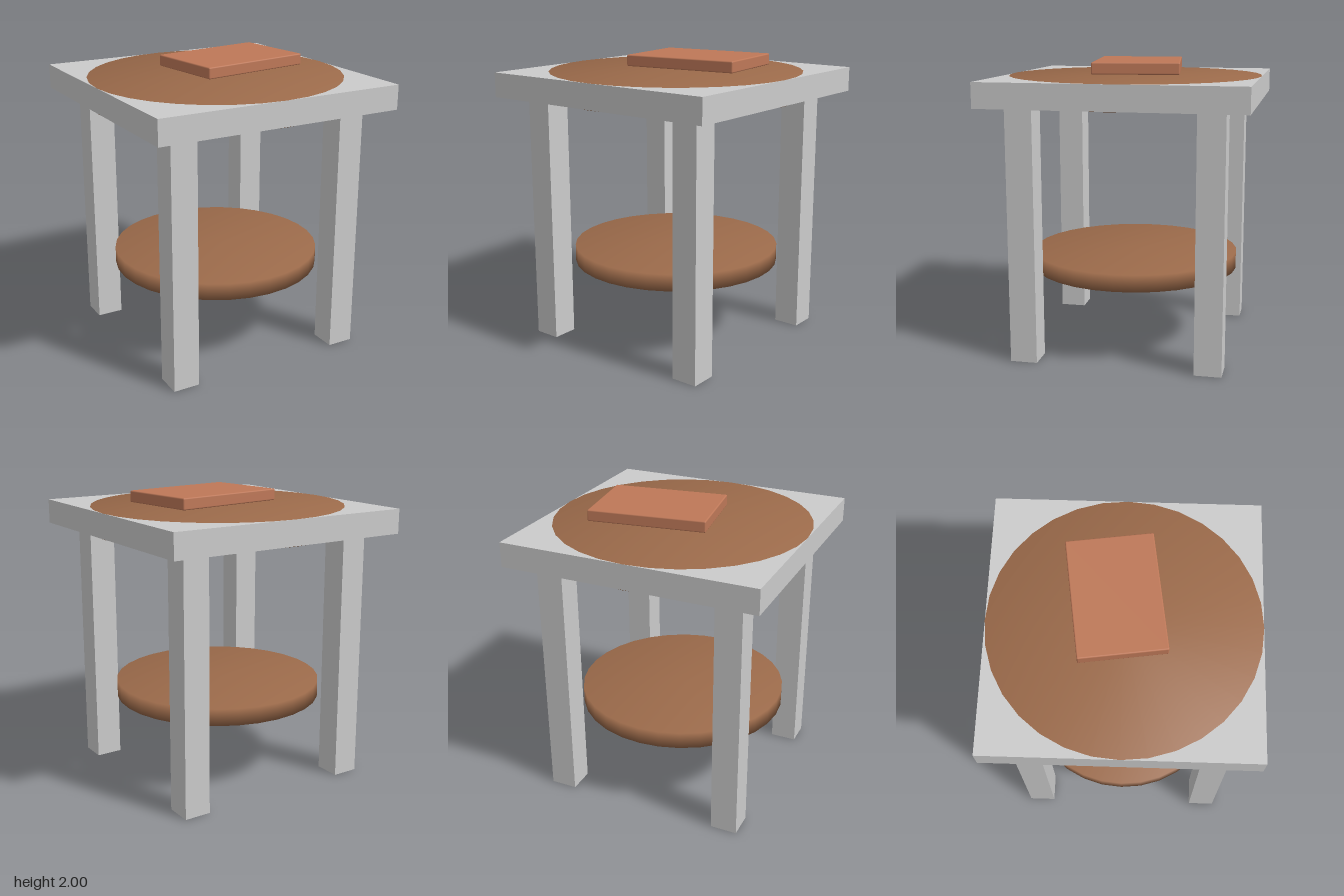
import * as THREE from 'three';
import { mergeVertices } from 'three/addons/utils/BufferGeometryUtils.js';
import { RoundedBoxGeometry } from 'three/addons/geometries/RoundedBoxGeometry.js';

const grey = new THREE.MeshStandardMaterial({ color: 0xcccccc });
const wood = new THREE.MeshStandardMaterial({ color: 0x9b6a4a });
const clay = new THREE.MeshStandardMaterial({ color: 0xbe7858 });

// Cylinder with normals shared between rim and caps, for soft shading
function softCylinder(radius, height) {
  const raw = new THREE.CylinderGeometry(radius, radius, height, 32);
  raw.deleteAttribute('normal');
  raw.deleteAttribute('uv');
  const geometry = mergeVertices(raw);
  geometry.computeVertexNormals();
  return geometry;
}

function add(parent, name, geometry, material, x, y, z) {
  const mesh = new THREE.Mesh(geometry, material);
  mesh.name = name;
  mesh.position.set(x, y, z);
  parent.add(mesh);
  return mesh;
}

export function createModel() {
  const table = new THREE.Group();
  table.name = 'sideTable';

  // Square top with a round wooden disc set through it, a hair proud
  add(table, 'squareTop', new THREE.BoxGeometry(1.74, 0.167, 1.74), grey, 0, 1.803, 0);
  add(table, 'roundTop', softCylinder(0.87, 0.171), wood, 0, 1.803, 0);

  // Square legs with a round wooden core
  const legBox = new THREE.BoxGeometry(0.182, 1.72, 0.182);
  const legCore = softCylinder(0.088, 1.718);
  for (const sx of [-1, 1]) {
    for (const sz of [-1, 1]) {
      const leg = new THREE.Group();
      leg.name = (sz > 0 ? 'front' : 'back') + (sx > 0 ? 'Left' : 'Right') + 'Leg';
      leg.position.set(sx * 0.622, 0.86, sz * 0.622);
      add(leg, 'legPost', legBox, grey, 0, 0, 0);
      add(leg, 'legCore', legCore, wood, 0, -0.002, 0);
      table.add(leg);
    }
  }

  // Round lower shelf between the legs
  add(table, 'lowerShelf', softCylinder(0.722, 0.115), wood, 0, 0.593, 0);

  // Book hovering just above the top, turned slightly
  const book = add(table, 'book', new RoundedBoxGeometry(0.8, 0.077, 0.565, 2, 0.009), clay, 0.152, 1.9615, -0.055);
  book.rotation.y = 0.14;

  return table;
}
